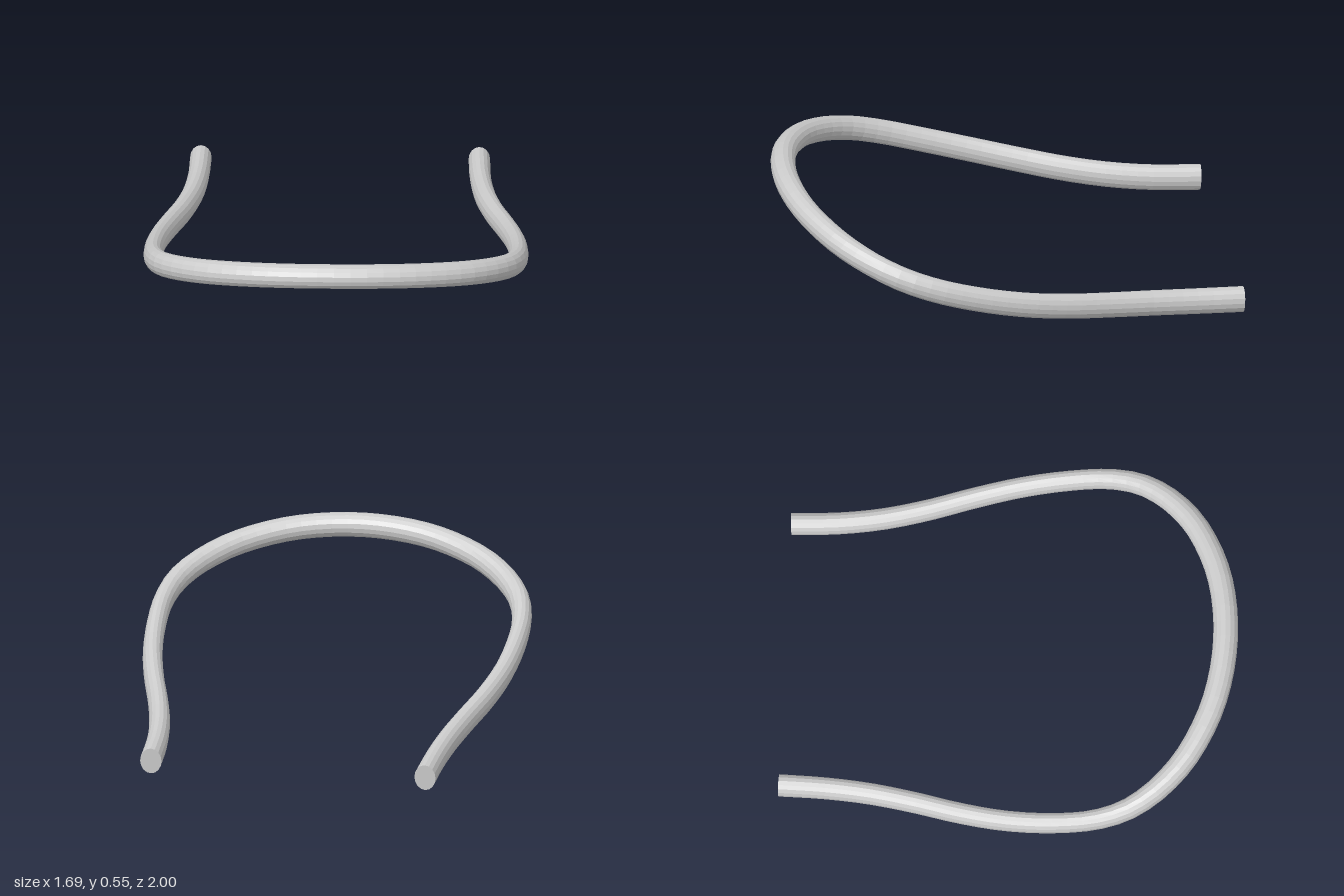
import * as THREE from 'three';

const SIDES = 16;
const SEGMENTS = 72;

// Height of the centreline: a gentle upward sweep towards the front
const heightAt = (z) => 0.062 + 0.026 * (z + 1) + 0.104 * (z + 1) ** 2;

// Half of the centreline as [x, z], from the rear end to the front middle
const HALF = [
  [0.612, -1], [0.62, -0.8], [0.643, -0.6], [0.685, -0.4], [0.738, -0.2],
  [0.78, 0], [0.801, 0.2], [0.8, 0.38], [0.772, 0.51], [0.727, 0.6],
  [0.646, 0.7], [0.52, 0.8], [0.29, 0.9], [0, 0.938],
];

// Half width of the bar: slimmest at the sides, fullest at the front
function halfWidth(z) {
  return z < 0.3
    ? THREE.MathUtils.lerp(0.0475, 0.0425, (z + 1) / 1.3)
    : THREE.MathUtils.lerp(0.0425, 0.0545, THREE.MathUtils.smoothstep(z, 0.3, 0.9));
}

// Sweep an oval section along a curve and close both ends
function sweepOval(curve) {
  const positions = [];
  const index = [];
  const up = new THREE.Vector3(0, 1, 0);
  for (let i = 0; i <= SEGMENTS; i++) {
    const p = curve.getPointAt(i / SEGMENTS);
    const tangent = curve.getTangentAt(i / SEGMENTS);
    const side = new THREE.Vector3().crossVectors(tangent, up).normalize();
    const normal = new THREE.Vector3().crossVectors(side, tangent);
    const width = halfWidth(p.z);
    const height = THREE.MathUtils.lerp(0.059, 0.054, (p.z + 1) / 1.94);
    for (let j = 0; j < SIDES; j++) {
      const angle = (j / SIDES) * Math.PI * 2;
      const v = p.clone()
        .addScaledVector(side, Math.cos(angle) * width)
        .addScaledVector(normal, Math.sin(angle) * height);
      positions.push(v.x, v.y, v.z);
    }
  }
  for (let i = 0; i < SEGMENTS; i++) {
    for (let j = 0; j < SIDES; j++) {
      const a = i * SIDES + j;
      const b = i * SIDES + ((j + 1) % SIDES);
      index.push(a, a + SIDES, b, b, a + SIDES, b + SIDES);
    }
  }
  // Flat end caps
  const last = SEGMENTS * SIDES;
  for (let j = 1; j < SIDES - 1; j++) {
    index.push(0, j, j + 1);
    index.push(last, last + j + 1, last + j);
  }
  const geometry = new THREE.BufferGeometry();
  geometry.setAttribute('position', new THREE.Float32BufferAttribute(positions, 3));
  geometry.setIndex(index);
  geometry.computeVertexNormals();
  return geometry;
}

export function createModel() {
  const group = new THREE.Group();
  group.name = 'bentBar';

  // Mirror the half path to make the whole loop
  const half = HALF.map(([x, z]) => new THREE.Vector3(x, heightAt(z), z));
  const mirrored = half.slice(0, -1).reverse().map((p) => new THREE.Vector3(-p.x, p.y, p.z));
  const curve = new THREE.CatmullRomCurve3([...half, ...mirrored], false, 'centripetal');

  const material = new THREE.MeshStandardMaterial({ color: 0xcccccc, flatShading: true });
  const bar = new THREE.Mesh(sweepOval(curve), material);
  bar.name = 'bar';
  group.add(bar);
  return group;
}
